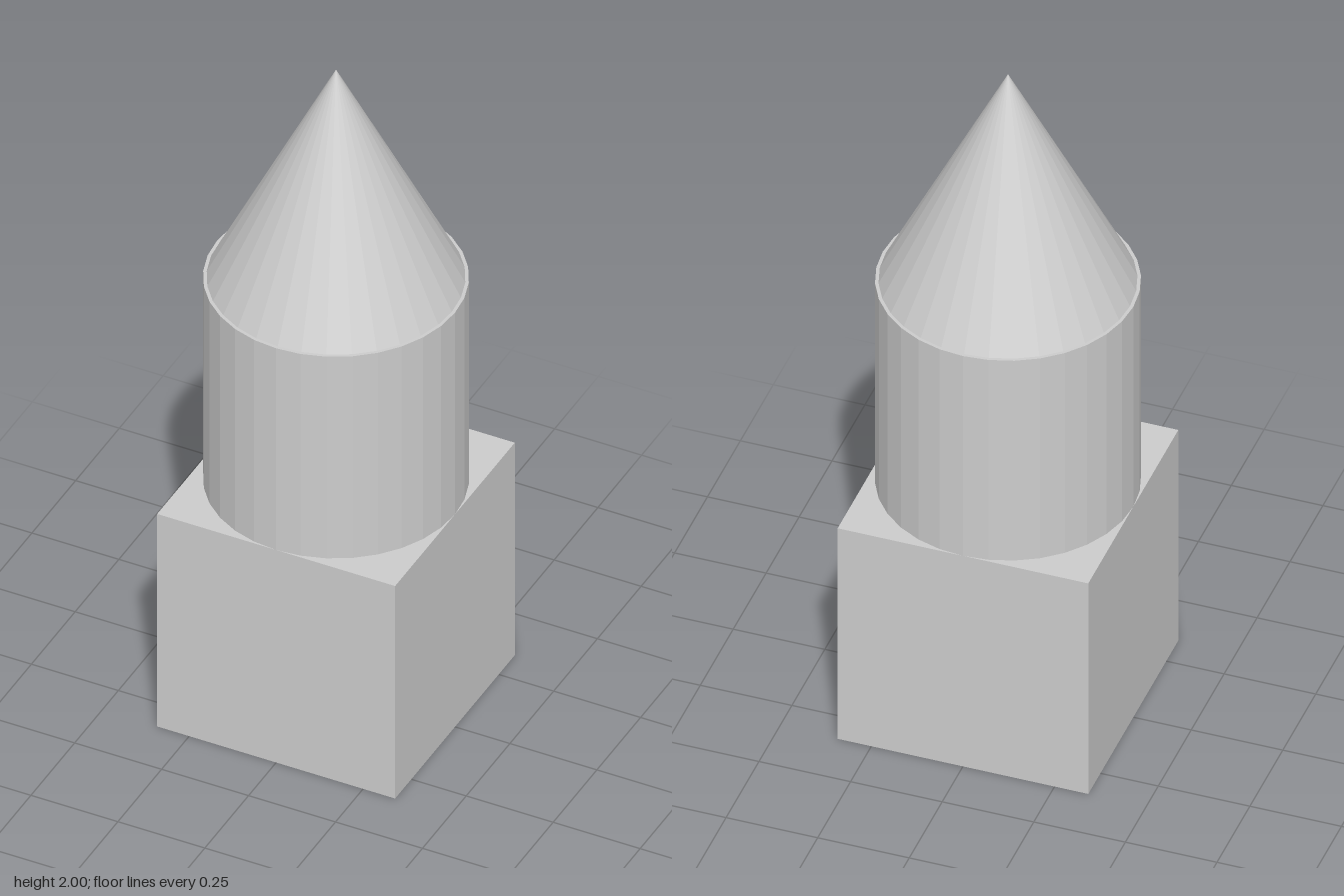
import * as THREE from 'three';

export function createModel() {
  const group = new THREE.Group();
  const grey = new THREE.MeshStandardMaterial({ color: 0xcccccc, flatShading: true });
  grey.name = 'light grey';

  const sides = 32;
  const baseSize = 0.684;
  const shoulder = 1.333; // height where the cone meets the column
  const top = 2;

  const add = (name, geometry, bottom, height) => {
    const mesh = new THREE.Mesh(geometry, grey);
    mesh.name = name;
    mesh.position.y = bottom + height / 2;
    group.add(mesh);
  };

  // Cube base
  add('base', new THREE.BoxGeometry(baseSize, baseSize, baseSize), 0, baseSize);

  // Column, as wide as the base
  const columnHeight = shoulder - baseSize;
  add('column', new THREE.CylinderGeometry(baseSize / 2, baseSize / 2, columnHeight, sides), baseSize, columnHeight);

  // Pointed roof, set in slightly from the column's rim
  const roofHeight = top - shoulder;
  add('roof', new THREE.ConeGeometry(0.333, roofHeight, sides), shoulder, roofHeight);

  return group;
}
